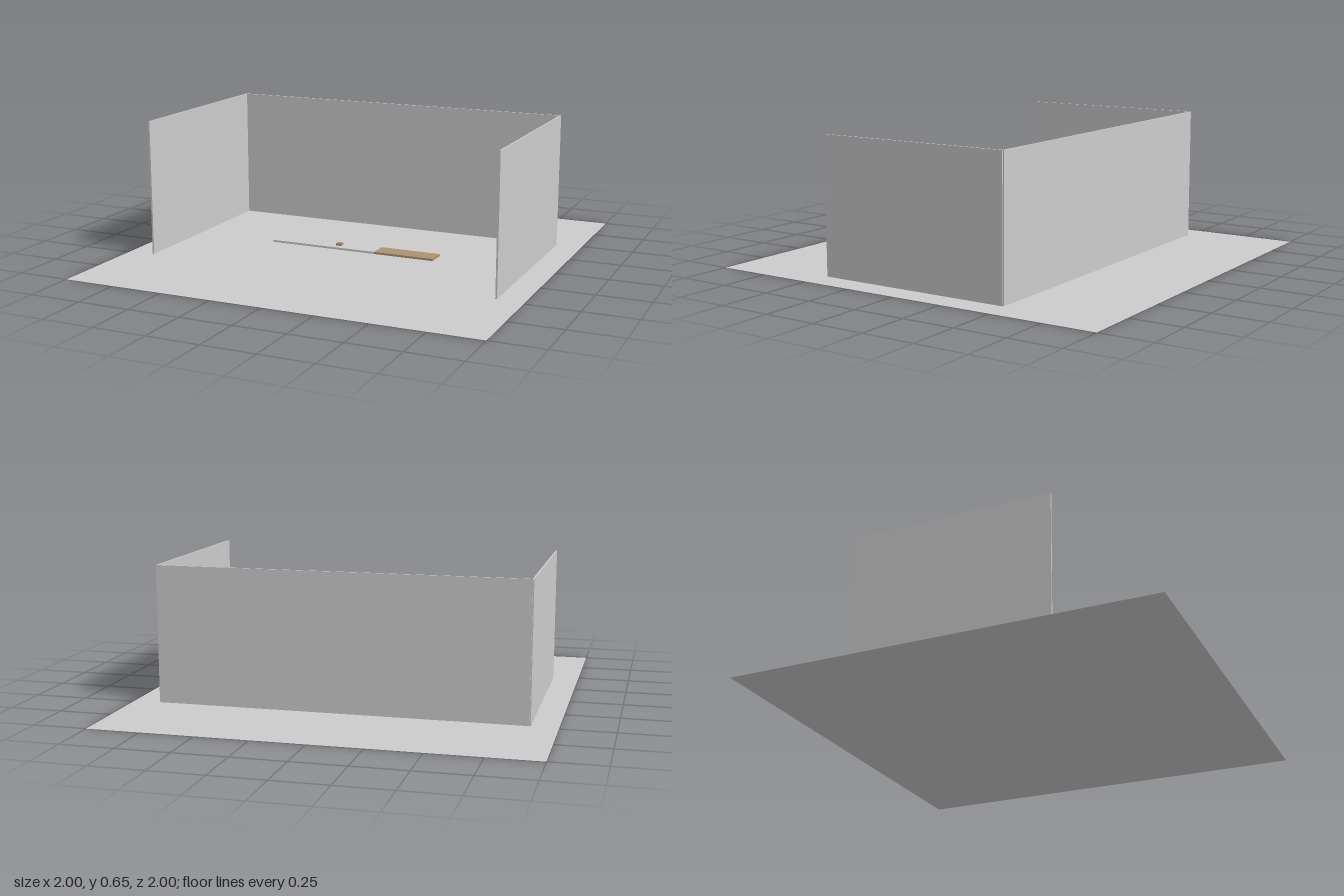
import * as THREE from 'three';

export function createModel() {
  const group = new THREE.Group();
  const grey = new THREE.MeshStandardMaterial({ color: 0xcccccc, side: THREE.DoubleSide });
  grey.name = 'light grey';
  const tan = new THREE.MeshStandardMaterial({ color: 0xab936e });
  tan.name = 'tan';

  // Box given by its minimum and maximum corners
  function box(name, material, [x0, y0, z0], [x1, y1, z1]) {
    const mesh = new THREE.Mesh(new THREE.BoxGeometry(x1 - x0, y1 - y0, z1 - z0), material);
    mesh.position.set((x0 + x1) / 2, (y0 + y1) / 2, (z0 + z1) / 2);
    mesh.name = name;
    group.add(mesh);
  }

  // Ground sheet
  const ground = new THREE.Mesh(new THREE.PlaneGeometry(2, 2).rotateX(-Math.PI / 2), grey);
  ground.name = 'ground';
  group.add(ground);

  // Three thin walls, open at the front
  box('backWall', grey, [-0.87, 0, -0.485], [0.87, 0.653, -0.477]);
  for (const [name, x] of [['rightWall', -0.871], ['leftWall', 0.871]]) {
    box(name, grey, [x - 0.004, 0, -0.48], [x + 0.004, 0.653, 0.48]);
  }

  // Low strip on the floor: grey part and tan part, with a small block on top
  box('greyStrip', grey, [-0.44, 0.001, -0.048], [0.11, 0.011, 0.048]);
  box('tanStrip', tan, [0.11, 0.001, -0.048], [0.415, 0.011, 0.048]);
  box('smallBlock', tan, [-0.109, 0.011, -0.014], [-0.081, 0.022, 0.014]);

  return group;
}
